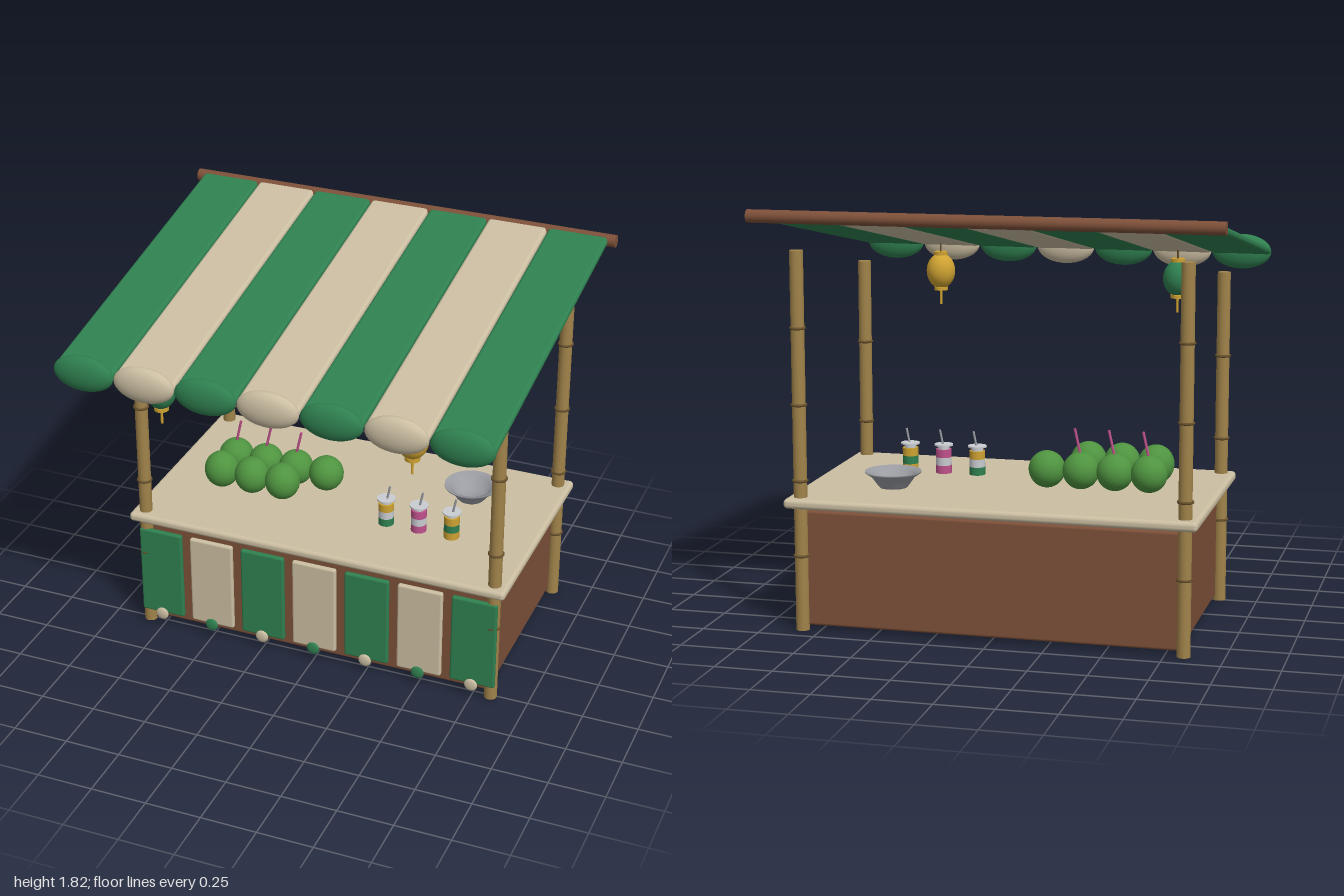
import * as THREE from 'three';
import { RoundedBoxGeometry } from 'three/addons/geometries/RoundedBoxGeometry.js';

function material(name, color, side = THREE.FrontSide) {
  const m = new THREE.MeshStandardMaterial({ color, side });
  m.name = name;
  return m;
}

export function createModel() {
  const root = new THREE.Group();
  root.name = 'marketStall';

  const green = material('canvas green', 0x2f8050);
  const cream = material('cream', 0xcbbea2);
  const wood = material('brown wood', 0x7d5039);
  const bamboo = material('bamboo', 0xa1834a);
  const node = material('dark bamboo', 0x66502c);
  const yellow = material('yellow', 0xcfa332);
  const fruit = material('fruit green', 0x4f9440);
  const pink = material('pink', 0xc0528c);
  const silver = material('silver', 0x9a9ca2, THREE.DoubleSide);
  const white = material('pale grey', 0xc9ccd0);

  function add(parent, name, geometry, mat, x = 0, y = 0, z = 0) {
    const mesh = new THREE.Mesh(geometry, mat);
    mesh.name = name;
    mesh.position.set(x, y, z);
    parent.add(mesh);
    return mesh;
  }
  function group(name, x = 0, y = 0, z = 0) {
    const g = new THREE.Group();
    g.name = name;
    g.position.set(x, y, z);
    root.add(g);
    return g;
  }
  const cyl = (r, h, r2 = r, n = 20) => new THREE.CylinderGeometry(r, r2, h, n);
  const ball = new THREE.SphereGeometry(1, 28, 18);

  // Counter
  add(root, 'counterBody', new RoundedBoxGeometry(1.63, 0.505, 0.9, 3, 0.012), wood, 0, 0.272, -0.2);
  add(root, 'counterTop', new RoundedBoxGeometry(1.78, 0.043, 1.03, 4, 0.018), cream, 0, 0.563, -0.2);

  // Bamboo posts with evenly spaced joints
  function post(name, x, z, height, sections) {
    const g = group(name, x, 0, z);
    add(g, 'cane', cyl(0.029, height), bamboo, 0, height / 2, 0);
    for (let i = 1; i < sections; i++) {
      const ring = add(g, 'joint', new THREE.TorusGeometry(0.03, 0.006, 8, 20), node, 0, height * i / sections, 0);
      ring.rotation.x = Math.PI / 2;
    }
  }
  for (const x of [-0.83, 0.83]) {
    post('frontPost', x, 0.258, 1.487, 4);
    post('backPost', x, -0.653, 1.64, 5);
  }

  // Front hangings, each with a button at the hem
  const panel = new RoundedBoxGeometry(0.208, 0.435, 0.026, 3, 0.01);
  for (let i = 0; i < 7; i++) {
    const x = (i - 3) * 0.25;
    add(root, 'frontPanel', panel, i % 2 ? cream : green, x, 0.281, 0.278);
    const button = add(root, 'hemButton', ball, i % 2 ? green : cream, x, 0.066, 0.299);
    button.scale.set(0.03, 0.03, 0.011);
  }

  // Sloped awning strips with scalloped front ends
  const strip = new RoundedBoxGeometry(0.272, 0.036, 1.55, 4, 0.016);
  for (let i = 0; i < 7; i++) {
    const x = (i - 3) * 0.277;
    const mat = i % 2 ? cream : green;
    add(root, 'awningStrip', strip, mat, x, 1.66, 0).rotation.x = THREE.MathUtils.degToRad(10);
    const scallop = add(root, 'awningScallop', ball, mat, x, 1.522, 0.752);
    scallop.scale.set(0.137, 0.08, 0.044);
  }
  add(root, 'awningRod', cyl(0.028, 2), wood, 0, 1.79, -0.765).rotation.z = Math.PI / 2;

  // Hanging lanterns
  for (const [x, mat] of [[-0.565, green], [0.56, yellow]]) {
    const g = group('lantern', x, 1.41, 0.58);
    add(g, 'lanternBody', ball, mat).scale.set(0.067, 0.082, 0.067);
    for (const y of [0.083, -0.083]) add(g, 'lanternCap', cyl(0.032, 0.016), yellow, 0, y, 0);
    add(g, 'tassel', cyl(0.006, 0.07, 0.006, 8), yellow, 0, -0.122, 0);
    add(g, 'cord', cyl(0.004, 0.07, 0.004, 8), node, 0, 0.12, 0);
  }

  // Green coconuts: three in front, four behind, three of them with straws
  for (let i = 0; i < 7; i++) {
    const back = i > 2;
    const col = back ? i - 3 : i;
    const g = group('coconut', -0.595 + col * 0.15, back ? 0.667 : 0.679, back ? -0.22 : -0.06);
    add(g, 'husk', ball, fruit).scale.set(0.08, back ? 0.081 : 0.085, 0.08);
    if (back && col < 3) {
      add(g, 'straw', cyl(0.006, 0.14, 0.006, 8), pink, 0.012, 0.115, 0).rotation.z = -0.22;
    }
  }

  // Striped drink cups, bands listed from the bottom up
  [[green, white, yellow], [pink, white, pink], [yellow, green, yellow]].forEach((bands, i) => {
    const g = group('drinkCup', 0.217 + i * 0.155, 0.585, -0.04);
    bands.forEach((mat, j) => add(g, 'cupBand', cyl(0.035, 0.036), mat, 0, 0.018 + j * 0.036, 0));
    add(g, 'cupNeck', cyl(0.026, 0.02), white, 0, 0.116, 0);
    add(g, 'cupLid', cyl(0.042, 0.007), white, 0, 0.127, 0);
    add(g, 'straw', cyl(0.005, 0.075, 0.005, 8), silver, 0.01, 0.157, 0).rotation.z = -0.2;
  });

  // Open metal bowl
  const bowl = [[0, 0.003], [0.06, 0.003], [0.068, 0.012], [0.095, 0.05], [0.122, 0.068],
    [0.122, 0.075], [0.09, 0.06], [0.062, 0.018], [0, 0.012]];
  add(root, 'bowl', new THREE.LatheGeometry(bowl.map(([r, y]) => new THREE.Vector2(r, y)), 32),
    silver, 0.5, 0.585, -0.385);

  return root;
}
